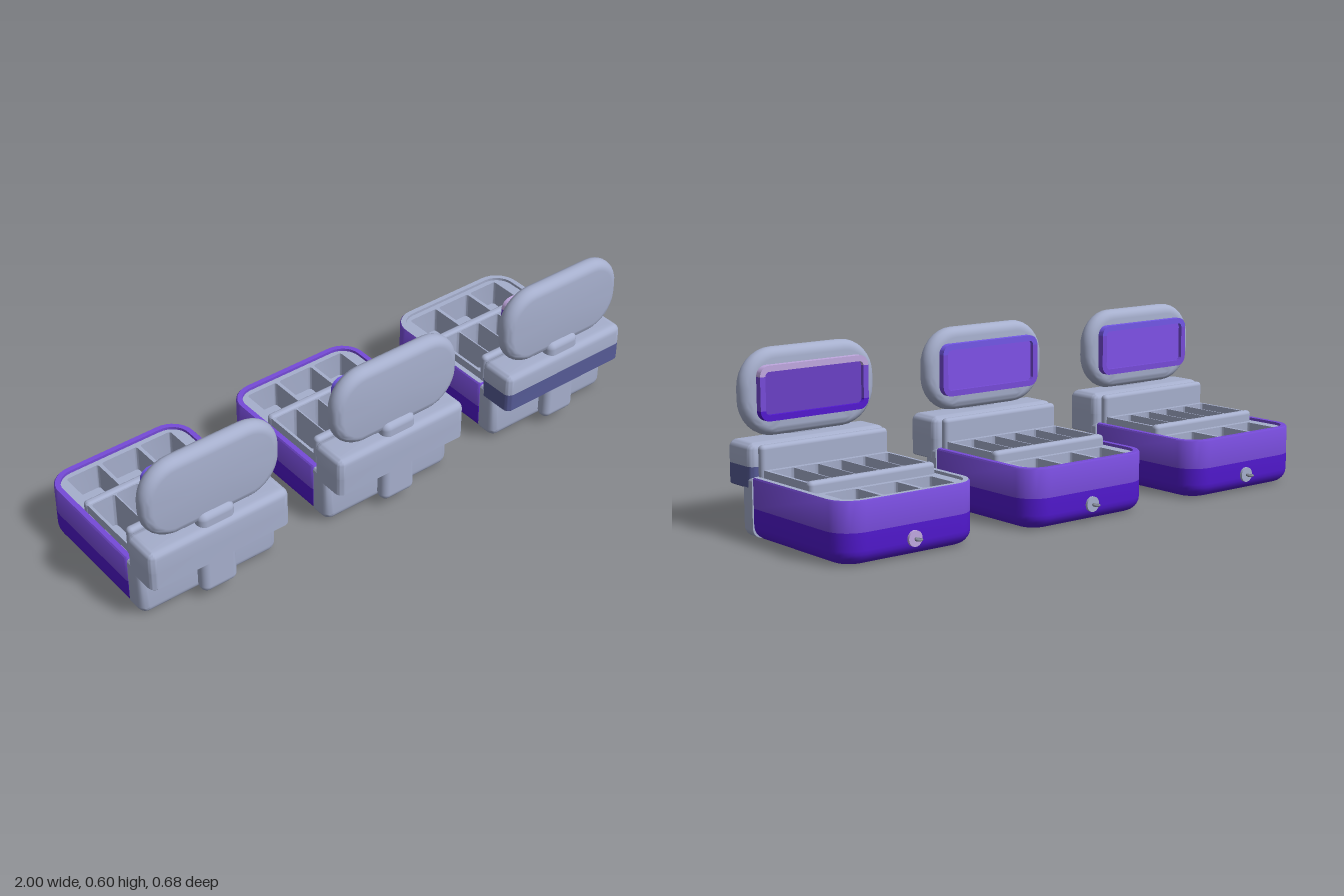
import * as THREE from 'three';
import { toCreasedNormals } from 'three/addons/utils/BufferGeometryUtils.js';
import { RoundedBoxGeometry } from 'three/addons/geometries/RoundedBoxGeometry.js';

const material = (name, color) => {
  const m = new THREE.MeshStandardMaterial({ color });
  m.name = name;
  return m;
};

// Rounded rectangle in x/z; the front (+z) and back corners have their own radii
function outline(hw, zBack, zFront, rFront, rBack, inset = 0) {
  const pts = [], n = 8, w = hw - inset, f = zFront - inset, b = zBack + inset;
  const corner = (sx, z, sz, r0, start) => {
    const r = Math.max(r0 - inset, 0.003);
    for (let i = 0; i <= n; i++) {
      const a = start + (i / n) * Math.PI / 2;
      pts.push([sx * (w - r) + r * Math.cos(a), z - sz * r + r * Math.sin(a)]);
    }
  };
  corner(1, f, 1, rFront, 0);
  corner(-1, f, 1, rFront, Math.PI / 2);
  corner(-1, b, -1, rBack, Math.PI);
  corner(1, b, -1, rBack, Math.PI * 1.5);
  return pts;
}

// Stack inset copies of an outline; each ring is [inset, height]
function loft(args, rings, capBottom = true, capTop = true) {
  const pos = [], idx = [];
  let n = 0;
  for (const [inset, y] of rings) {
    const pts = outline(...args, inset);
    n = pts.length;
    for (const [x, z] of pts) pos.push(x, y, z);
  }
  for (let i = 0; i < rings.length - 1; i++) {
    for (let j = 0; j < n; j++) {
      const k = (j + 1) % n, a = i * n + j, b = i * n + k;
      idx.push(a, a + n, b, b, a + n, b + n);
    }
  }
  const cap = (ring, up) => {
    const c = pos.length / 3;
    pos.push(0, rings[ring][1], (args[1] + args[2]) / 2);
    for (let j = 0; j < n; j++) {
      const a = ring * n + j, b = ring * n + (j + 1) % n;
      idx.push(c, up ? b : a, up ? a : b);
    }
  };
  if (capBottom) cap(0, false);
  if (capTop) cap(rings.length - 1, true);
  const g = new THREE.BufferGeometry();
  g.setAttribute('position', new THREE.Float32BufferAttribute(pos, 3));
  g.setIndex(idx);
  return toCreasedNormals(g, 0.7);
}

// Quarter-round edge rings, opening at the bottom or closing at the top
const edge = (y, r, top) => Array.from({ length: 7 }, (_, i) => {
  const a = (i / 6) * Math.PI / 2;
  return top ? [r * (1 - Math.cos(a)), y - r + r * Math.sin(a)]
    : [r * (1 - Math.sin(a)), y + r - r * Math.cos(a)];
});

// Flat slab from an x/z outline with holes; holes wind against the outer edge
function slab(outer, holes, y0, y1) {
  const v = (pts) => pts.map(([x, z]) => new THREE.Vector2(x, -z));
  const s = new THREE.Shape(v(outer).reverse());
  for (const h of holes) s.holes.push(new THREE.Path(v(h)));
  const g = new THREE.ExtrudeGeometry(s, { depth: y1 - y0, bevelEnabled: false });
  return toCreasedNormals(g.rotateX(-Math.PI / 2).translate(0, y0, 0), 0.6);
}

const box = (x0, x1, y0, y1, z0, z1, r) => new RoundedBoxGeometry(x1 - x0, y1 - y0, z1 - z0, 4, r)
  .translate((x0 + x1) / 2, (y0 + y1) / 2, (z0 + z1) / 2);

export function createModel() {
  const grey = material('shell grey', 0xa6afcd);
  const violet = material('upper violet', 0x764bd8);
  const deep = material('deep violet', 0x5219d0);
  const navy = material('navy band', 0x565b97);
  const pale = material('pale lilac', 0xc0a8e0);
  const periwinkle = material('periwinkle', 0x7459ea);
  const glass = material('mirror violet', 0x6a40c6);
  const bright = material('bright mirror violet', 0x8253ec);
  const metal = material('ring metal', 0x858a98);

  const tub = [0.267, -0.303, 0.194, 0.012, 0.09];
  const bridge = [0.267, 0.197, 0.34, 0.025, 0.025];

  // Compartment cut-outs: three small wells and five long ones
  const wells = [[-0.205, -0.083], [-0.07, 0.07], [0.083, 0.205]];
  const hole = (x0, x1, z0, z1) => outline((x1 - x0) / 2, z0, z1, 0.01, 0.01)
    .map(([x, z]) => [x + (x0 + x1) / 2, z]);
  const smallHoles = wells.map(([a, b]) => hole(a, b, -0.262, -0.118));
  const longHoles = [0, 1, 2, 3, 4].map((i) => hole(-0.229 + i * 0.0925, -0.141 + i * 0.0925, -0.066, 0.145));
  const trayOutline = outline(...tub, 0.022);

  // Mirror frame pieces, cut between two points of its outline
  const frameArgs = [0.21, -0.55, -0.37, 0.035, 0.035];
  const outer = outline(...frameArgs), inner = outline(...frameArgs, 0.02);
  const framePiece = (from, to) => {
    const run = (pts) => Array.from({ length: to - from + 1 }, (_, i) => pts[(from + i) % pts.length]);
    return slab([...run(outer), ...run(inner).reverse()], [], 0.22, 0.246).rotateX(Math.PI / 2);
  };

  // Upright parts are lofted flat, then turned so the loft runs along z
  const upright = (args, rings) => loft(args, rings).rotateX(Math.PI / 2);
  const geo = {
    tubLower: loft(tub, [...edge(0, 0.048, false), [0, 0.105]], true, false),
    tubUpper: loft(tub, [[0, 0.105], [0, 0.2], [0.004, 0.205]], false, false),
    rim: slab(outline(...tub, 0.004), [trayOutline], 0.185, 0.205),
    tray: slab(trayOutline, [...smallHoles, ...longHoles], 0.1, 0.195),
    trayFloor: slab(outline(...tub, 0.024), [], 0.09, 0.1),
    brushTray: slab(outline(0.239, -0.085, 0.17, 0.005, 0.005), longHoles, 0.194, 0.228),
    bar: box(-0.242, 0.242, 0.18, 0.233, -0.1, -0.068, 0.014),
    backStrip: box(-0.247, 0.247, 0.14, 0.307, 0.163, 0.193, 0.014),
    bridgeLower: loft(bridge, [[0.004, 0.165], [0, 0.169], [0, 0.235]], true, false),
    bridgeUpper: loft(bridge, [[0, 0.235], ...edge(0.31, 0.028, true)], false, true),
    frontPanel: upright([0.266, -0.2, -0.003, 0.035, 0.01], [[0, 0.195], ...edge(0.265, 0.03, true)]),
    latch: box(-0.068, 0.068, 0.03, 0.354, 0.273, 0.327, 0.025),
    lid: upright([0.258, -0.602, -0.314, 0.125, 0.125],
      [...edge(0.243, 0.033, false), ...edge(0.31, 0.033, true)]),
    frameBottom: framePiece(0, 17),
    frameSideRight: framePiece(17, 18),
    frameTop: framePiece(18, 35),
    frameSideLeft: framePiece(35, 36),
    mirror: slab(outline(0.192, -0.532, -0.388, 0.02, 0.02), [], 0.234, 0.241).rotateX(Math.PI / 2),
    knobPlate: new THREE.CylinderGeometry(0.026, 0.026, 0.012, 24).rotateX(Math.PI / 2).translate(0, 0.058, -0.306),
    knobStem: new THREE.CylinderGeometry(0.005, 0.005, 0.014, 12).rotateX(Math.PI / 2).translate(0, 0.058, -0.315),
    knobRing: new THREE.TorusGeometry(0.009, 0.004, 8, 24).rotateX(Math.PI / 2).translate(0, 0.058, -0.328),
  };

  function caseUnit(accent) {
    const g = new THREE.Group();
    g.name = accent ? 'bandedCase' : 'case';
    const paint = {
      tubLower: deep, tubUpper: violet, rim: accent ? grey : violet,
      bridgeLower: accent ? navy : grey, mirror: accent ? glass : bright,
      frameBottom: accent ? deep : violet, frameSideLeft: violet, frameSideRight: violet,
      frameTop: accent ? pale : periwinkle,
      knobPlate: accent ? pale : grey, knobStem: metal, knobRing: metal,
    };
    for (const [name, geometry] of Object.entries(geo)) {
      const m = new THREE.Mesh(geometry, paint[name] || grey);
      m.name = name;
      g.add(m);
    }
    return g;
  }

  // Three open cases in a row; the last wears the accent colours
  const model = new THREE.Group();
  model.name = 'openCaseRow';
  for (let i = -1; i <= 1; i++) {
    const unit = caseUnit(i === 1);
    unit.position.x = i * 0.733;
    model.add(unit);
  }
  return model;
}
